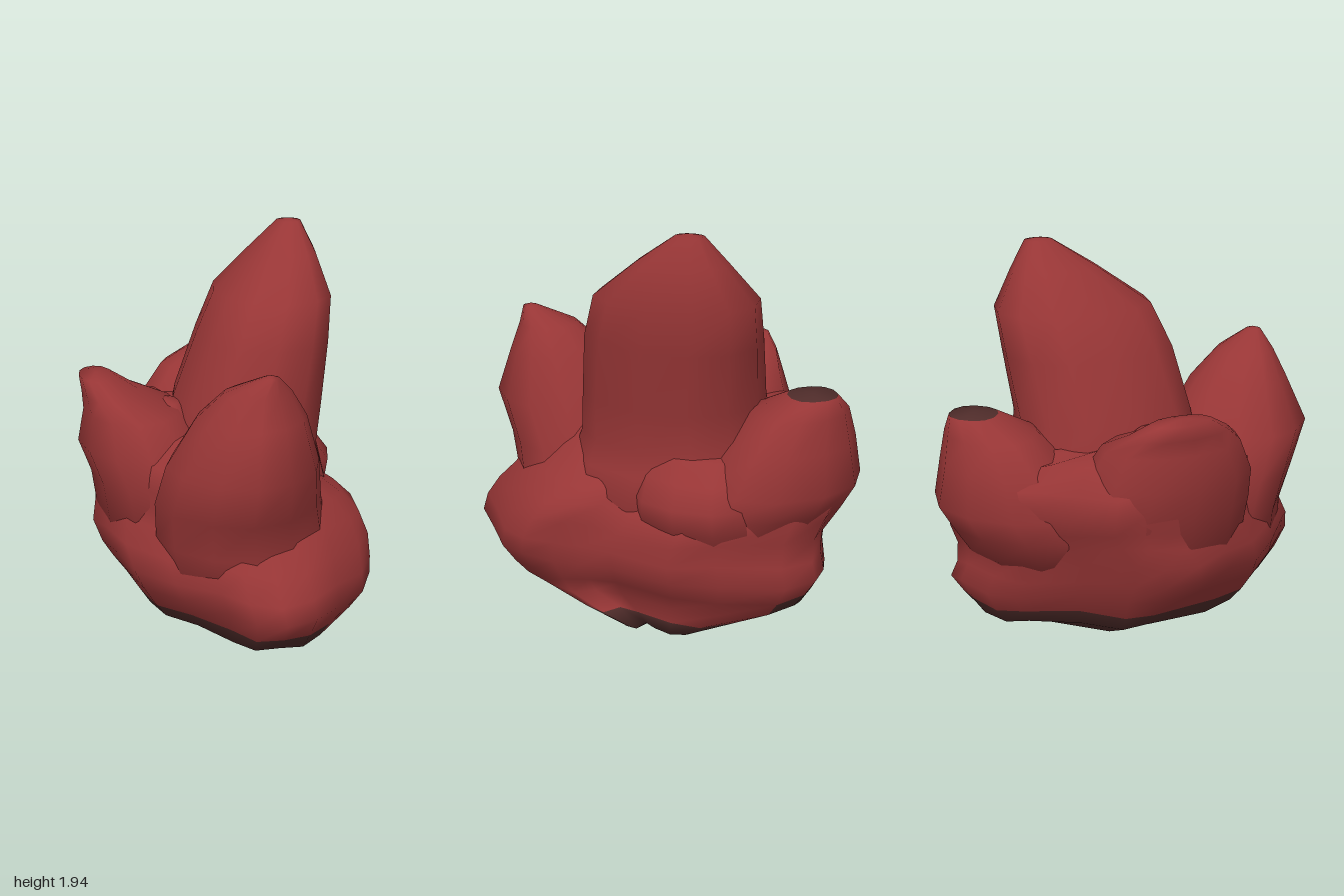
import * as THREE from 'three';

const red = new THREE.MeshStandardMaterial({ color: 0x983636 });
red.name = 'crystalRed';
const dark = new THREE.MeshStandardMaterial({ color: 0x4f2c2a });
dark.name = 'darkStone';

// Round outline in the range -1..1; a power below 1 squares the shoulders, above 1 slims them
const roundOutline = power => Array.from({ length: 12 }, (_, i) => {
  const a = (i / 12) * Math.PI * 2;
  const bend = v => Math.sign(v) * Math.pow(Math.abs(v), power);
  return [bend(Math.cos(a)), bend(Math.sin(a))];
});

// Lumpy footprint of the rock
const rockOutline = [
  [0.9, -0.05], [0.88, 0.14], [1, 0.26], [1, 0.45], [0.87, 0.63], [0.62, 0.8], [0.38, 0.98],
  [0.15, 1], [-0.07, 0.95], [-0.25, 0.84], [-0.54, 0.64], [-0.81, 0.42], [-0.92, 0.2], [-1, 0],
  [-0.95, -0.2], [-0.88, -0.35], [-0.62, -0.55], [-0.34, -0.82], [-0.15, -0.92], [0.12, -0.99],
  [0.3, -1], [0.53, -0.9], [0.81, -0.63], [0.95, -0.4],
];

// How many bands of the rock are dark at each column: low on the right-hand flank
const rockDarkBands = j => (j < 3 || j > 20 ? 1 : j < 5 ? 2 : 3);

// Skins a stack of rings [y, xMin, xMax, zMin, zMax] and closes both ends
function loft(name, outline, rings, { darkBands = () => 0, darkCap = false, wobble = 0 } = {}) {
  const n = outline.length, pos = [], redFaces = [], darkFaces = [];
  rings.forEach(([y, x0, x1, z0, z1], r) => {
    outline.forEach(([u, v], j) => {
      const lift = wobble * Math.sin(j * 1.9 + r * 0.7);
      pos.push((x0 + x1 + u * (x1 - x0)) / 2, Math.max(0, y + lift), (z0 + z1 + v * (z1 - z0)) / 2);
    });
  });
  const addCentre = ([y, x0, x1, z0, z1], dy) => {
    pos.push((x0 + x1) / 2, y + dy, (z0 + z1) / 2);
    return pos.length / 3 - 1;
  };
  const low = addCentre(rings[0], -0.01);
  const high = addCentre(rings[rings.length - 1], 0.012);
  const last = (rings.length - 1) * n;
  for (let j = 0; j < n; j++) {
    const k = (j + 1) % n;
    (darkBands(j) ? darkFaces : redFaces).push(low, j, k);
    for (let r = 0; r < rings.length - 1; r++) {
      const a = r * n + j, b = r * n + k;
      (r < darkBands(j) ? darkFaces : redFaces).push(a, a + n, b, b, a + n, b + n);
    }
    (darkCap ? darkFaces : redFaces).push(last + j, high, last + k);
  }
  const geo = new THREE.BufferGeometry();
  geo.setAttribute('position', new THREE.Float32BufferAttribute(pos, 3));
  geo.setIndex([...redFaces, ...darkFaces]);
  geo.addGroup(0, redFaces.length, 0);
  geo.addGroup(redFaces.length, darkFaces.length, 1);
  geo.computeVertexNormals();
  const mesh = new THREE.Mesh(geo, [red, dark]);
  mesh.name = name;
  return mesh;
}

export function createModel() {
  const group = new THREE.Group();
  group.name = 'crystalCluster';

  // Rock body with a dark underside
  group.add(loft('rockBase', rockOutline, [
    [0.01, -0.08, 0.54, -0.42, 0.12],
    [0.07, -0.25, 0.56, -0.6, 0.5],
    [0.14, -0.4, 0.57, -0.77, 0.87],
    [0.22, -0.46, 0.62, -0.83, 0.94],
    [0.32, -0.53, 0.68, -0.89, 1.0],
    [0.41, -0.58, 0.68, -0.86, 0.98],
    [0.52, -0.62, 0.68, -0.86, 0.91],
    [0.62, -0.6, 0.65, -0.9, 0.82],
    [0.7, -0.6, 0.57, -0.93, 0.77],
    [0.78, -0.61, 0.46, -0.93, 0.74],
    [0.9, -0.61, 0.34, -0.87, 0.66],
    [1.0, -0.5, 0.2, -0.68, 0.42],
  ], { darkBands: rockDarkBands, wobble: 0.015 }));

  // Sloping shoulder behind the tall crystal
  group.add(loft('rearShoulder', roundOutline(0.9), [
    [0.35, 0.1, 0.5, -0.6, -0.1],
    [0.58, 0, 0.63, -0.68, 0.02],
    [0.7, 0, 0.655, -0.68, 0.0],
    [0.8, 0, 0.58, -0.64, 0.0],
    [0.89, 0, 0.5, -0.58, -0.05],
  ]));

  // Tall leaning crystal
  group.add(loft('tallCrystal', roundOutline(0.87), [
    [0.4, -0.2, 0.5, -0.5, 0.42],
    [0.62, -0.25, 0.58, -0.58, 0.48],
    [0.78, -0.25, 0.545, -0.58, 0.43],
    [0.9, -0.24, 0.515, -0.56, 0.39],
    [1.1, -0.2, 0.54, -0.53, 0.36],
    [1.4, -0.08, 0.575, -0.56, 0.31],
    [1.61, 0.02, 0.595, -0.575, 0.23],
    [1.79, 0.21, 0.54, -0.46, -0.02],
    [1.925, 0.36, 0.48, -0.37, -0.23],
  ]));

  // Front crystal
  group.add(loft('frontCrystal', roundOutline(1.15), [
    [0.2, -0.2, 0.3, 0.2, 0.6],
    [0.42, -0.32, 0.46, 0.12, 0.86],
    [0.57, -0.36, 0.46, 0.1, 0.85],
    [0.76, -0.37, 0.42, 0.12, 0.91],
    [0.97, -0.33, 0.385, 0.22, 1.0],
    [1.2, -0.2, 0.315, 0.39, 0.9],
    [1.33, -0.08, 0.235, 0.54, 0.845],
    [1.415, 0.08, 0.16, 0.73, 0.81],
  ]));

  // Back crystal with a dark broken tip
  group.add(loft('backCrystal', roundOutline(1.12), [
    [0.3, -0.15, 0.4, -0.65, -0.1],
    [0.5, -0.32, 0.5, -0.84, -0.1],
    [0.64, -0.36, 0.53, -0.93, -0.15],
    [0.76, -0.36, 0.54, -1.0, -0.2],
    [0.95, -0.3, 0.47, -0.965, -0.36],
    [1.1, -0.18, 0.37, -0.94, -0.5],
    [1.185, 0.0, 0.26, -0.91, -0.67],
  ], { darkCap: true }));

  // Short crystal leaning out to the side
  group.add(loft('sideCrystal', roundOutline(0.95), [
    [0.3, -0.4, 0.1, -0.3, 0.3],
    [0.55, -0.59, 0.05, -0.44, 0.42],
    [0.76, -0.62, 0.0, -0.46, 0.44],
    [0.92, -0.68, -0.05, -0.44, 0.41],
    [1.08, -0.65, -0.18, -0.37, 0.33],
    [1.16, -0.655, -0.38, -0.3, 0.22],
    [1.235, -0.665, -0.5, -0.22, 0.09],
  ]));

  // Small knob in the saddle between the crystals
  group.add(loft('saddleKnob', roundOutline(0.95), [
    [0.85, -0.42, -0.06, -0.25, 0.22],
    [1.04, -0.37, -0.12, -0.18, 0.16],
    [1.1, -0.32, -0.18, -0.1, 0.08],
  ]));

  return group;
}
